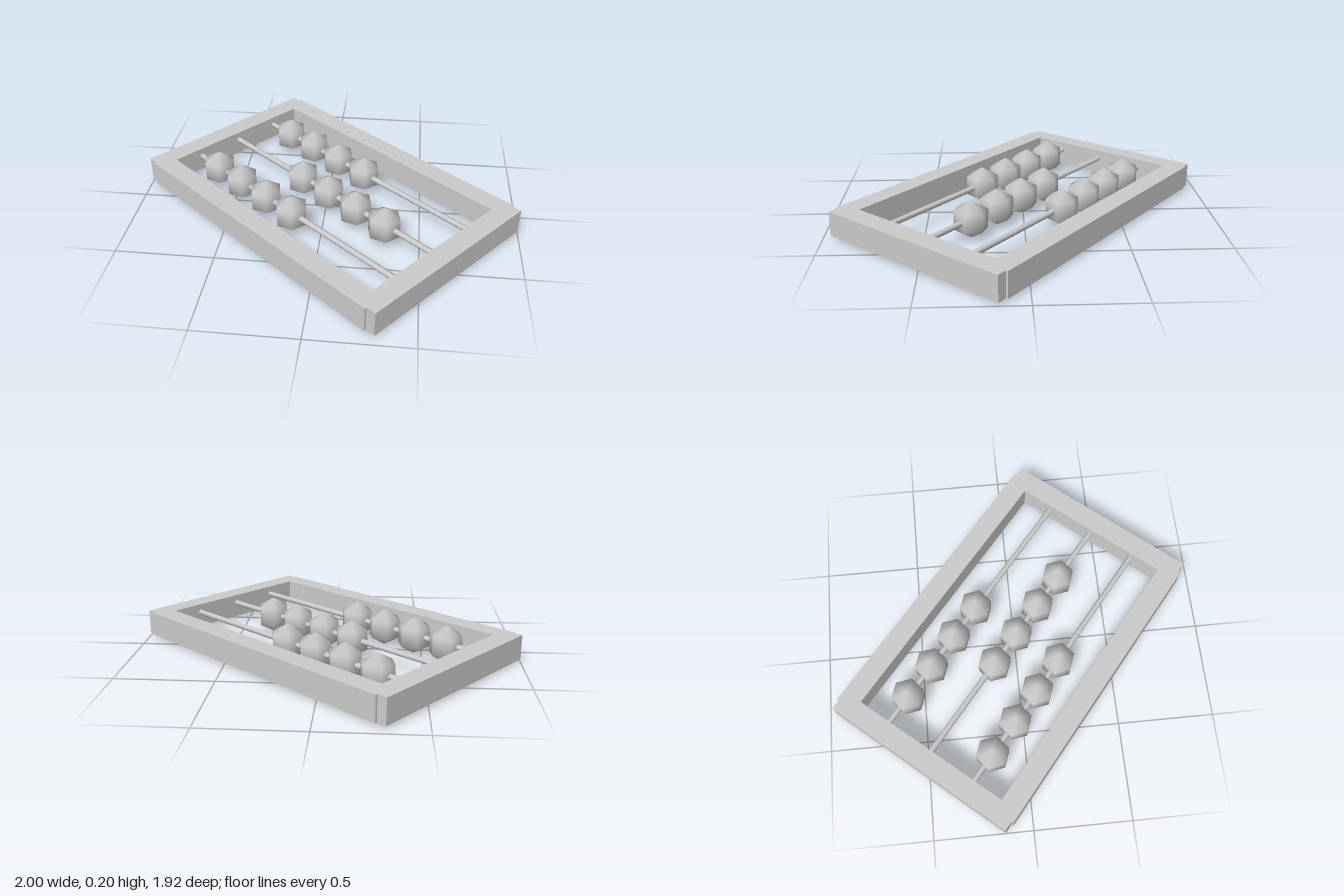
import * as THREE from 'three';
import { mergeVertices } from 'three/addons/utils/BufferGeometryUtils.js';

// Weld all shared corners so shading runs smoothly over the whole surface
function smooth(geometry) {
  geometry.deleteAttribute('uv');
  geometry.deleteAttribute('normal');
  const welded = mergeVertices(geometry, 1e-4);
  welded.computeVertexNormals();
  return welded;
}

export function createModel() {
  const model = new THREE.Group();
  model.name = 'abacus';
  const grey = new THREE.MeshStandardMaterial({ color: 0xcccccc });
  grey.name = 'light grey';

  function add(name, geometry, x, y, z) {
    const mesh = new THREE.Mesh(geometry, grey);
    mesh.name = name;
    mesh.position.set(x, y, z);
    model.add(mesh);
    return mesh;
  }

  // Frame: long rails reach slightly past the ends of the short rails
  const frameY = 0.08;
  const longRail = new THREE.BoxGeometry(1.611, 0.13, 0.109);
  const shortRail = new THREE.BoxGeometry(0.109, 0.13, 1.07);
  for (const side of [-1, 1]) {
    add('longRail', longRail, 0, frameY, side * 0.4915);
    add('shortRail', shortRail, side * 0.802, frameY, 0);
  }

  // Rods with four faceted beads each
  const beadRadius = 0.0985;
  const bead = smooth(new THREE.SphereGeometry(beadRadius, 6, 3));
  const rod = smooth(new THREE.CylinderGeometry(0.015, 0.015, 1.54, 8).rotateZ(Math.PI / 2));
  const rows = [
    { z: -0.266, firstBead: -0.58 },
    { z: 0, firstBead: -0.182 },
    { z: 0.266, firstBead: -0.58 },
  ];
  for (const { z, firstBead } of rows) {
    add('rod', rod, 0, beadRadius, z);
    for (let i = 0; i < 4; i++) {
      add('bead', bead, firstBead + i * 0.2, beadRadius, z).rotation.y = Math.PI / 9;
    }
  }

  // The whole abacus lies turned on the ground
  model.rotation.y = -THREE.MathUtils.degToRad(40);
  const root = new THREE.Group();
  root.add(model);
  return root;
}
